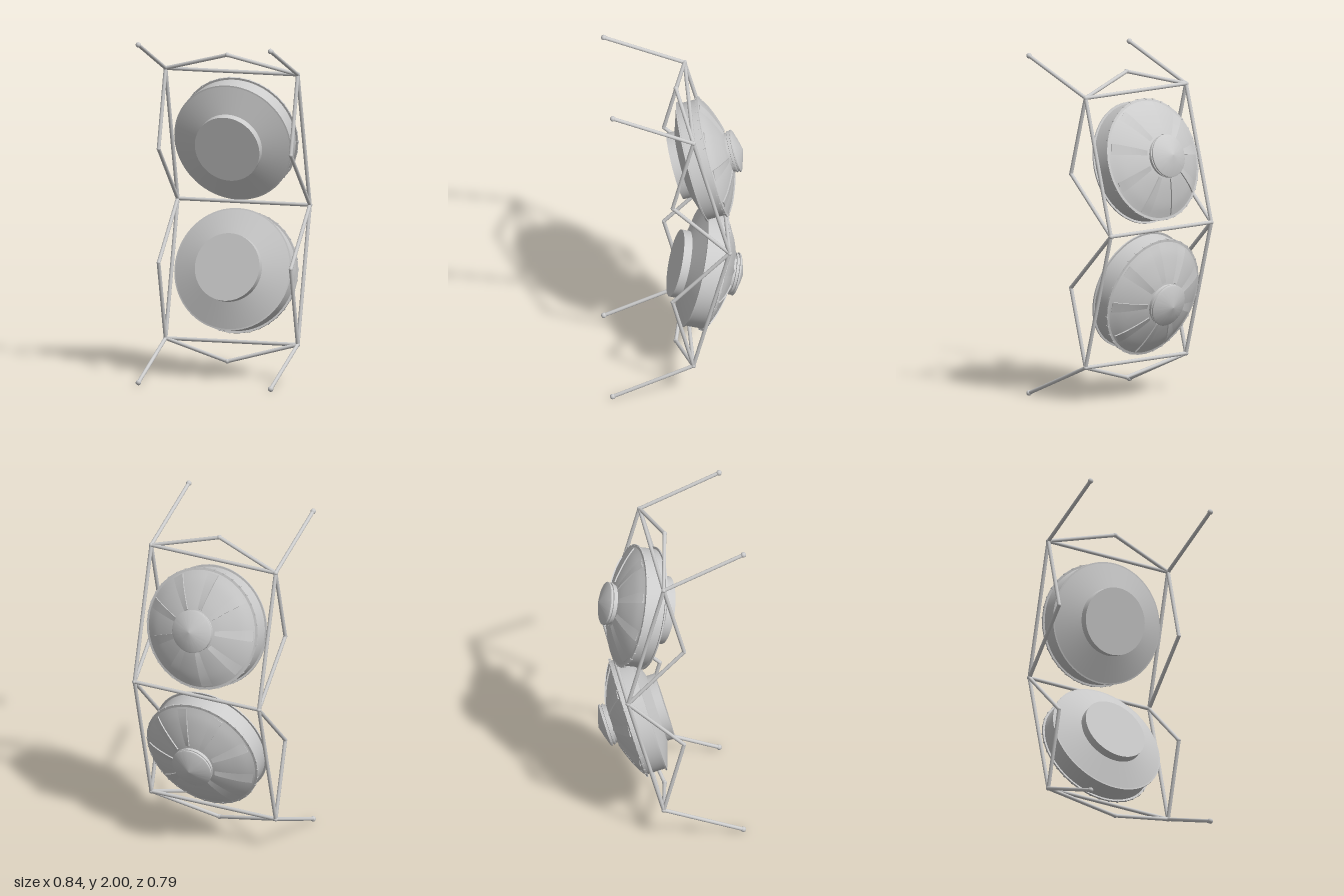
import * as THREE from 'three';
import { toCreasedNormals } from 'three/addons/utils/BufferGeometryUtils.js';

const material = new THREE.MeshStandardMaterial({ color: 0xcccccc });
const thin = new THREE.MeshStandardMaterial({ color: 0xcccccc, side: THREE.DoubleSide });
const TILT = THREE.MathUtils.degToRad(15);

function add(parent, name, geometry, mat = material) {
  const mesh = new THREE.Mesh(geometry, mat);
  mesh.name = name;
  parent.add(mesh);
  return mesh;
}

// Rod between two points
function rod(parent, name, a, b, radius = 0.011) {
  const from = new THREE.Vector3(...a), to = new THREE.Vector3(...b);
  const mesh = add(parent, name, new THREE.CylinderGeometry(radius, radius, from.distanceTo(to), 16));
  mesh.position.copy(from).add(to).multiplyScalar(0.5);
  mesh.quaternion.setFromUnitVectors(new THREE.Vector3(0, 1, 0), to.sub(from).normalize());
}

function joint(parent, p, radius = 0.014) {
  add(parent, 'joint', new THREE.SphereGeometry(radius, 16, 12)).position.set(...p);
}

function turned(points) {
  const profile = points.map(([r, y]) => new THREE.Vector2(r, y));
  return toCreasedNormals(new THREE.LatheGeometry(profile, 72), 0.3);
}

// Curved rear shell, from the rim (s = 0) to the neck (s = 1)
const domeCurve = new THREE.CatmullRomCurve3([
  [0.343, 0.229], [0.285, 0.262], [0.216, 0.291], [0.151, 0.313], [0.108, 0.324],
].map(([r, y]) => new THREE.Vector3(r, y, 0)));

// Wedge shaped strip lying on the shell, raised along one edge
function panelGeometry() {
  const positions = [], index = [], steps = 14;
  const width = THREE.MathUtils.degToRad(11.5);
  for (let i = 0; i <= steps; i++) {
    const p = domeCurve.getPointAt(0.04 + 0.88 * i / steps);
    for (const [angle, lift] of [[0, 0.001], [-width, 0.008], [-width, -0.004]]) {
      const r = p.x + lift * 0.4;
      positions.push(r * Math.sin(angle), p.y + lift * 0.9, r * Math.cos(angle));
    }
    if (i === steps) break;
    const k = i * 3;
    for (let j = 0; j < 2; j++) {
      index.push(k + j, k + j + 3, k + j + 1, k + j + 1, k + j + 3, k + j + 4);
    }
  }
  const e = steps * 3;
  index.push(0, 1, 2, e, e + 2, e + 1);
  const geometry = new THREE.BufferGeometry();
  geometry.setAttribute('position', new THREE.Float32BufferAttribute(positions, 3));
  geometry.setIndex(index);
  geometry.computeVertexNormals();
  return toCreasedNormals(geometry, 0.4);
}

// Drum-shaped pod; local y runs from its front face to its rear cap
function createPod() {
  const pod = new THREE.Group();
  pod.name = 'pod';

  add(pod, 'frontDrum', turned([[0, 0], [0.197, 0], [0.197, 0.05]]));
  add(pod, 'frontCone', turned([[0.19, 0.046], [0.35, 0.1]]));
  add(pod, 'frontFlange', turned([[0.34, 0.098], [0.357, 0.101], [0.357, 0.109], [0.343, 0.109]]));
  add(pod, 'drumWall', turned([[0.345, 0.105], [0.345, 0.222]]));
  add(pod, 'rearFlange', turned([[0.343, 0.217], [0.357, 0.217], [0.357, 0.227], [0.338, 0.23]]));
  add(pod, 'rearShell', turned(domeCurve.getSpacedPoints(16).map((p) => [p.x, p.y])));

  // Neck with two collars and a shallow conical lid
  add(pod, 'rearCap', turned([
    [0.115, 0.315], [0.115, 0.336], [0.123, 0.338], [0.123, 0.347], [0.117, 0.349],
    [0.117, 0.354], [0.125, 0.356], [0.125, 0.364], [0.117, 0.369], [0.06, 0.388], [0, 0.404],
  ]));

  const panel = panelGeometry();
  for (let i = 0; i < 9; i++) {
    add(pod, 'shellPanel', panel, thin).rotation.y = i * Math.PI * 2 / 9;
  }

  // Small clamps around the rear flange
  const clamp = new THREE.BoxGeometry(0.012, 0.014, 0.008);
  for (let i = 0; i < 36; i++) {
    const a = (i + 0.5) * Math.PI / 18;
    const mesh = add(pod, 'rimClamp', clamp);
    mesh.position.set(0.355 * Math.sin(a), 0.222, 0.355 * Math.cos(a));
    mesh.rotation.y = a;
  }

  pod.position.set(0, 0.343, -0.007);
  pod.rotation.x = TILT - Math.PI / 2;
  return pod;
}

// Upper half, with the middle crossbar at its y = 0
function createHalf() {
  const half = new THREE.Group();
  half.name = 'podSection';
  half.add(createPod());

  const X = 0.405, apex = [0, 0.893, -0.01];
  for (const x of [-X, X]) {
    const middle = [x, 0, -0.295], corner = [x, 0.787, -0.086];
    const elbow = [x, 0.332, 0.034], tip = [x, 0.984, 0.381];
    rod(half, 'sideRail', middle, corner);
    rod(half, 'lowerBrace', middle, elbow);
    rod(half, 'upperBrace', elbow, corner);
    rod(half, 'arm', corner, tip);
    rod(half, 'apexBrace', corner, apex);
    joint(half, corner);
    joint(half, elbow, 0.012);
    joint(half, tip, 0.016);
  }
  rod(half, 'endCrossbar', [-X, 0.787, -0.086], [X, 0.787, -0.086]);
  joint(half, apex);
  return half;
}

export function createModel() {
  const model = new THREE.Group();
  model.name = 'twinPodFrame';

  const upper = createHalf(), lower = createHalf();
  upper.position.y = lower.position.y = 1;
  lower.rotation.z = Math.PI;
  model.add(upper, lower);

  // Shared crossbar between the two sections
  rod(model, 'middleCrossbar', [-0.405, 1, -0.295], [0.405, 1, -0.295]);
  for (const x of [-0.405, 0.405]) joint(model, [x, 1, -0.295]);
  return model;
}
